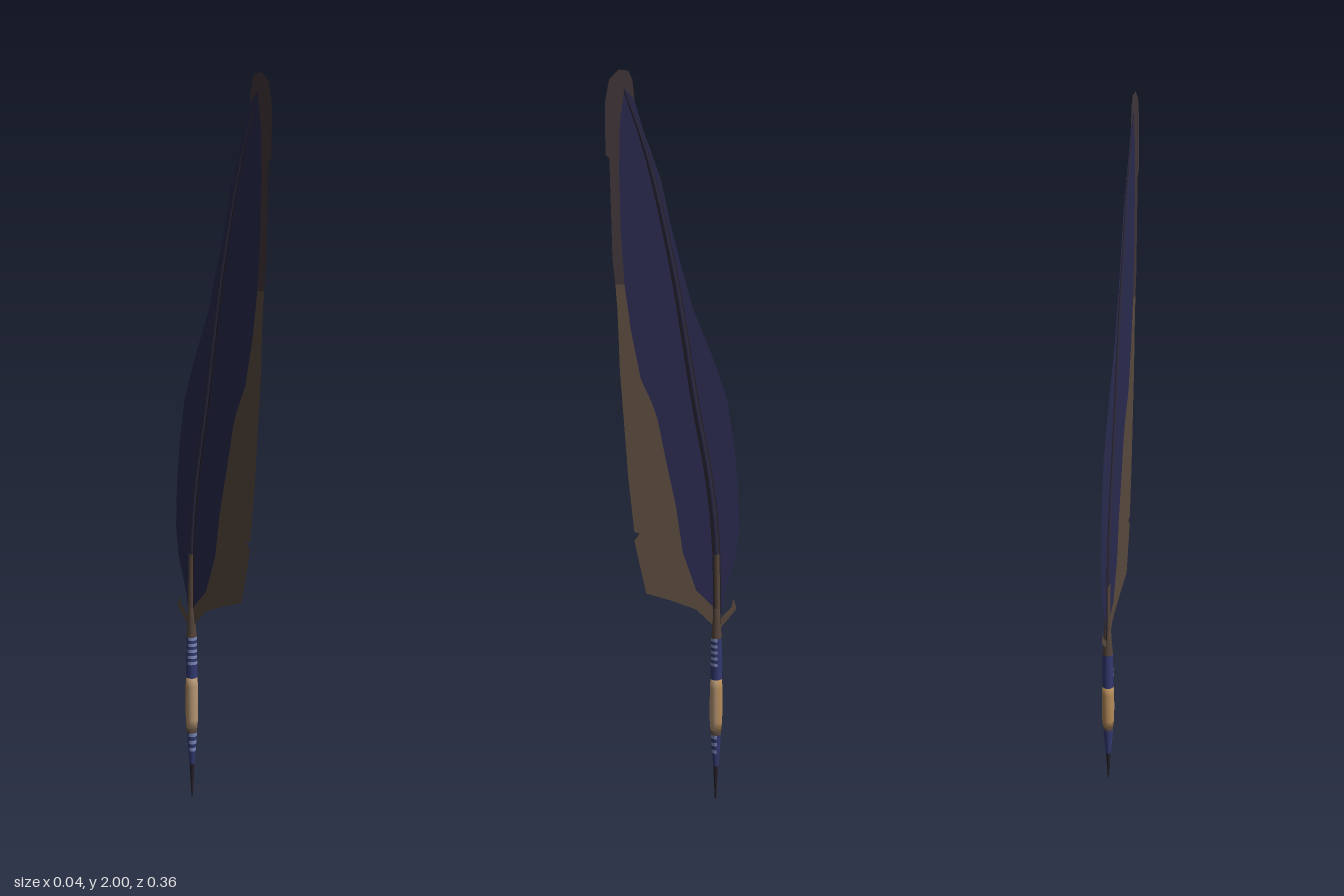
import * as THREE from 'three';

const mat = (name, color, side = THREE.FrontSide) => {
  const m = new THREE.MeshStandardMaterial({ color, side });
  m.name = name;
  return m;
};

export function createModel() {
  const group = new THREE.Group();
  group.name = 'quillPen';
  const D = THREE.DoubleSide;
  const blue = mat('featherBlue', 0x29294f, D);
  const brown = mat('featherBrown', 0x594a3e, D);
  const dusk = mat('duskyEdge', 0x40353a, D);
  const dark = mat('shaftDark', 0x241f26);
  const shaftBlue = mat('shaftBlue', 0x2b2942);
  const horn = mat('hornBrown', 0x54443a);
  const tanFront = mat('paleTanGrip', 0xb59674);
  const tanBack = mat('warmTanGrip', 0xb58c5a);
  const thread = mat('threadBlue', 0x32386f);
  const pale = mat('paleThread', 0x7c89b8);

  const add = (name, geo, material) => {
    const mesh = new THREE.Mesh(geo, material);
    mesh.name = name;
    group.add(mesh);
    return mesh;
  };

  // Flat feather pieces: outlines are [z, y] points in the x = 0 plane
  const plate = (name, pts, material) => {
    const shape = new THREE.Shape(pts.map(([z, y]) => new THREE.Vector2(z, y)));
    add(name, new THREE.ShapeGeometry(shape).rotateY(-Math.PI / 2), material);
  };

  // Boundaries between the coloured areas, bottom to top
  const lowerSeam = [[-0.119, 0.505], [-0.108, 0.57], [-0.06, 0.62], [-0.022, 0.73], [-0.003, 0.86],
    [0.027, 1.0], [0.047, 1.1], [0.06, 1.14], [0.092, 1.21], [0.118, 1.34], [0.134, 1.46]];
  const upperSeam = [[0.134, 1.46], [0.143, 1.6], [0.146, 1.75], [0.143, 1.87], [0.13, 1.955]];
  const rimSeam = [[0.105, 1.925], [0.082, 1.85], [0.038, 1.73], [0.008, 1.6]];
  const backEdge = [[-0.005, 1.55], [-0.048, 1.395], [-0.1, 1.27], [-0.143, 1.15], [-0.163, 1.03],
    [-0.175, 0.915], [-0.18, 0.785], [-0.17, 0.705], [-0.138, 0.6], [-0.125, 0.505]];
  plate('blueVane', [...lowerSeam, ...upperSeam.slice(1), ...rimSeam, ...backEdge], blue);
  plate('brownVane', [...lowerSeam, [0.158, 1.46], [0.153, 1.39], [0.148, 1.235], [0.127, 0.94],
    [0.112, 0.795], [0.097, 0.79], [0.112, 0.77], [0.08, 0.62], [0.01, 0.595], [-0.06, 0.565]], brown);
  plate('duskyTip', [...upperSeam, [0.105, 1.925], [0.11, 1.975], [0.12, 1.997], [0.145, 2.0], [0.17, 1.975],
    [0.181, 1.92], [0.181, 1.79], [0.171, 1.78], [0.165, 1.525], [0.158, 1.46]], dusk);
  plate('duskyRim', [...rimSeam, [0.042, 1.74], [0.088, 1.86]], dusk);
  // Loose curled barb at the base
  plate('looseBarb', [[-0.122, 0.5], [-0.15, 0.53], [-0.175, 0.56], [-0.166, 0.59], [-0.16, 0.565], [-0.13, 0.535]], brown);

  // Curved, tapering shaft made by bending a cylinder along a path
  const path = new THREE.CatmullRomCurve3([[-0.12, 0.48], [-0.114, 0.76], [-0.092, 0.95], [-0.058, 1.13],
    [0.005, 1.5], [0.074, 1.79], [0.131, 1.95]].map(([z, y]) => new THREE.Vector3(0, y, z)));
  const shaft = (name, t0, t1, rx, rz, material) => {
    const geo = new THREE.CylinderGeometry(1, 1, 1, 12, 24);
    const p = geo.attributes.position;
    for (let i = 0; i < p.count; i++) {
      const t = t0 + (p.getY(i) + 0.5) * (t1 - t0);
      const c = path.getPointAt(t);
      const taper = 1 - 0.15 * t - 0.6 * t ** 5;
      p.setXYZ(i, p.getX(i) * rx * taper, c.y, c.z + p.getZ(i) * rz * taper);
    }
    geo.computeVertexNormals();
    add(name, geo, material);
  };
  shaft('shaftGroove', 0, 1, 0.0025, 0.0115, dark);
  shaft('shaft', 0.12, 1, 0.0075, 0.0075, shaftBlue);
  shaft('shaftBase', 0, 0.16, 0.0092, 0.0085, horn);

  // Turned handle sections: [radius, height] profiles around the handle axis
  const Z = -0.118;
  const turned = (name, pts, material, start = 0, sweep = Math.PI * 2) => {
    const geo = new THREE.LatheGeometry(pts.map(([r, y]) => new THREE.Vector2(r, y)), 20, start, sweep);
    add(name, geo, material).position.z = Z;
  };
  // A section whose front and back halves differ in colour
  const halves = (name, pts, front, back) => {
    turned(name + 'Front', pts, front, -Math.PI / 2, Math.PI);
    turned(name + 'Back', pts, back, Math.PI / 2, Math.PI);
  };
  turned('nib', [[0, 0], [0.002, 0.001], [0.003, 0.02], [0.0045, 0.05], [0.007, 0.1]], dark);
  turned('lowerBinding', [[0.007, 0.1], [0.0105, 0.14]], thread);
  turned('lowerCollar', [[0.0145, 0.196], [0.0155, 0.212], [0, 0.212]], horn);
  halves('grip', [[0, 0.21], [0.0155, 0.21], [0.0175, 0.235], [0.018, 0.285], [0.0175, 0.335],
    [0.016, 0.36], [0, 0.36]], tanFront, tanBack);
  turned('upperBinding', [[0.0158, 0.358], [0.0158, 0.4]], thread);
  turned('shaftSocket', [[0.0145, 0.48], [0.0115, 0.52], [0.0092, 0.565], [0, 0.57]], horn);

  // Wound thread: narrow bands, alternately paler on the front
  const windings = (count, y0, y1, r0, r1) => {
    for (let i = 0; i < count; i++) {
      const at = (k) => [r0 + (r1 - r0) * k / count, y0 + (y1 - y0) * k / count];
      halves('winding', [at(i), at(i + 1)], i % 2 ? thread : pale, thread);
    }
  };
  windings(9, 0.4, 0.48, 0.0158, 0.0145);
  windings(5, 0.14, 0.196, 0.0105, 0.0145);

  return group;
}
